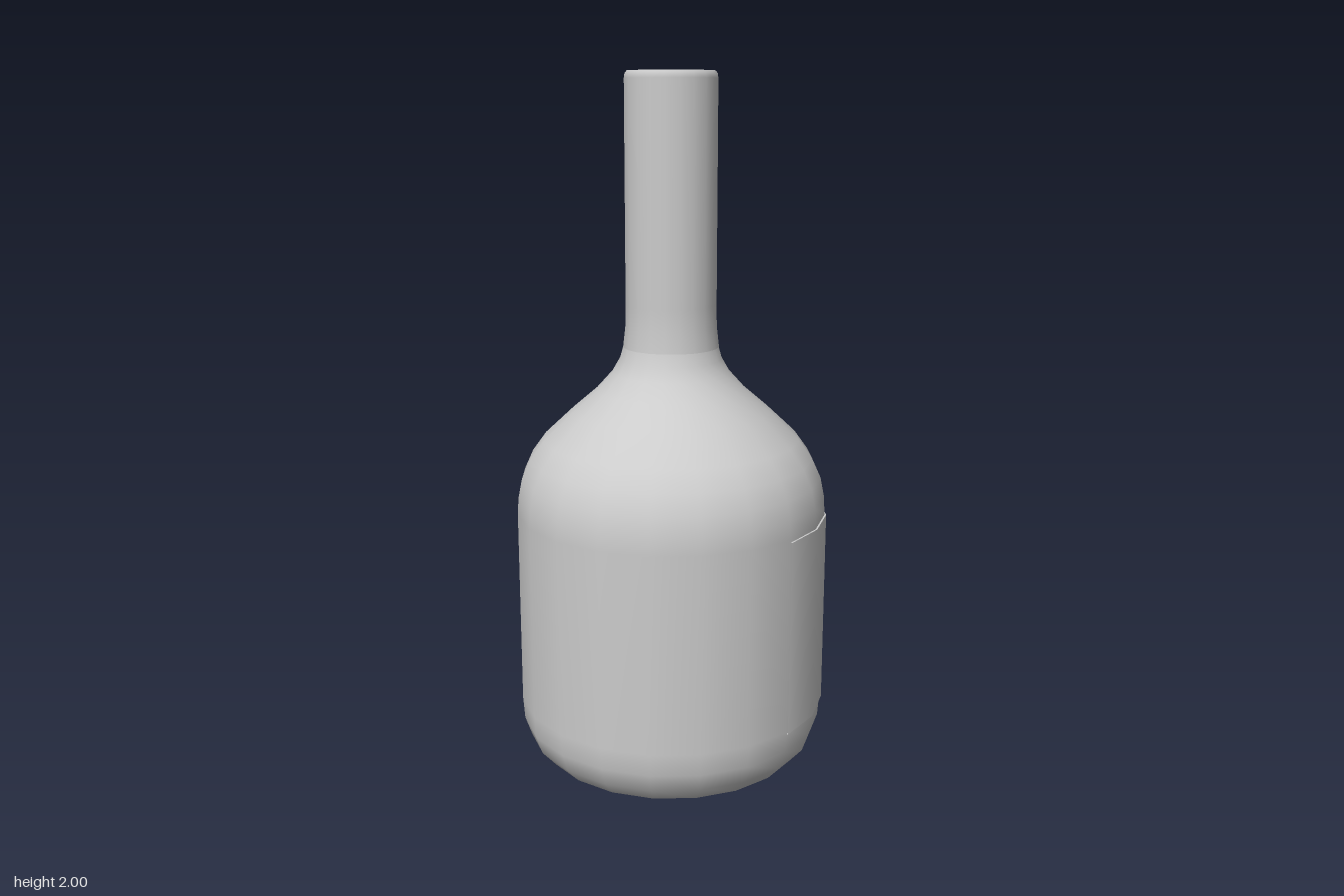
import * as THREE from 'three';

const SIDES = 20;

// Lathe from [radius, height] pairs; a repeated point makes a sharp crease.
function turned(name, profile, sides = SIDES, start = 0, sweep = Math.PI * 2) {
  const points = profile.map(([r, y]) => new THREE.Vector2(r, y));
  const material = new THREE.MeshStandardMaterial({ color: 0xcccccc, side: THREE.DoubleSide });
  const mesh = new THREE.Mesh(new THREE.LatheGeometry(points, sides, start, sweep), material);
  mesh.name = name;
  return mesh;
}

export function createModel() {
  const group = new THREE.Group();
  group.name = 'bottle';

  // Body: flat base, rounded lower edge, straight wall, sloping shoulder
  group.add(turned('body', [
    [0, 0], [0.3, 0], [0.335, 0.005], [0.385, 0.025], [0.425, 0.07], [0.444, 0.125], [0.449, 0.19],
    [0.449, 0.76], [0.446, 0.81], [0.435, 0.865], [0.41, 0.92], [0.37, 0.975],
    [0.285, 1.055], [0.215, 1.115], [0.17, 1.165], [0.147, 1.205], [0.136, 1.245],
  ]));

  // Neck sleeve with a softened rim and flat closed top
  group.add(turned('neckSleeve', [
    [0.134, 1.24], [0.138, 1.24], [0.138, 1.24], [0.131, 1.3], [0.13, 1.36],
    [0.13, 1.98], [0.128, 1.993], [0.122, 2], [0.122, 2], [0, 2],
  ]));

  // Label wrapped round the back half
  group.add(turned('label', [
    [0.446, 0.185], [0.454, 0.185], [0.454, 0.185],
    [0.454, 0.753], [0.454, 0.753], [0.446, 0.753],
  ], SIDES / 2, Math.PI / 2, Math.PI));

  return group;
}
